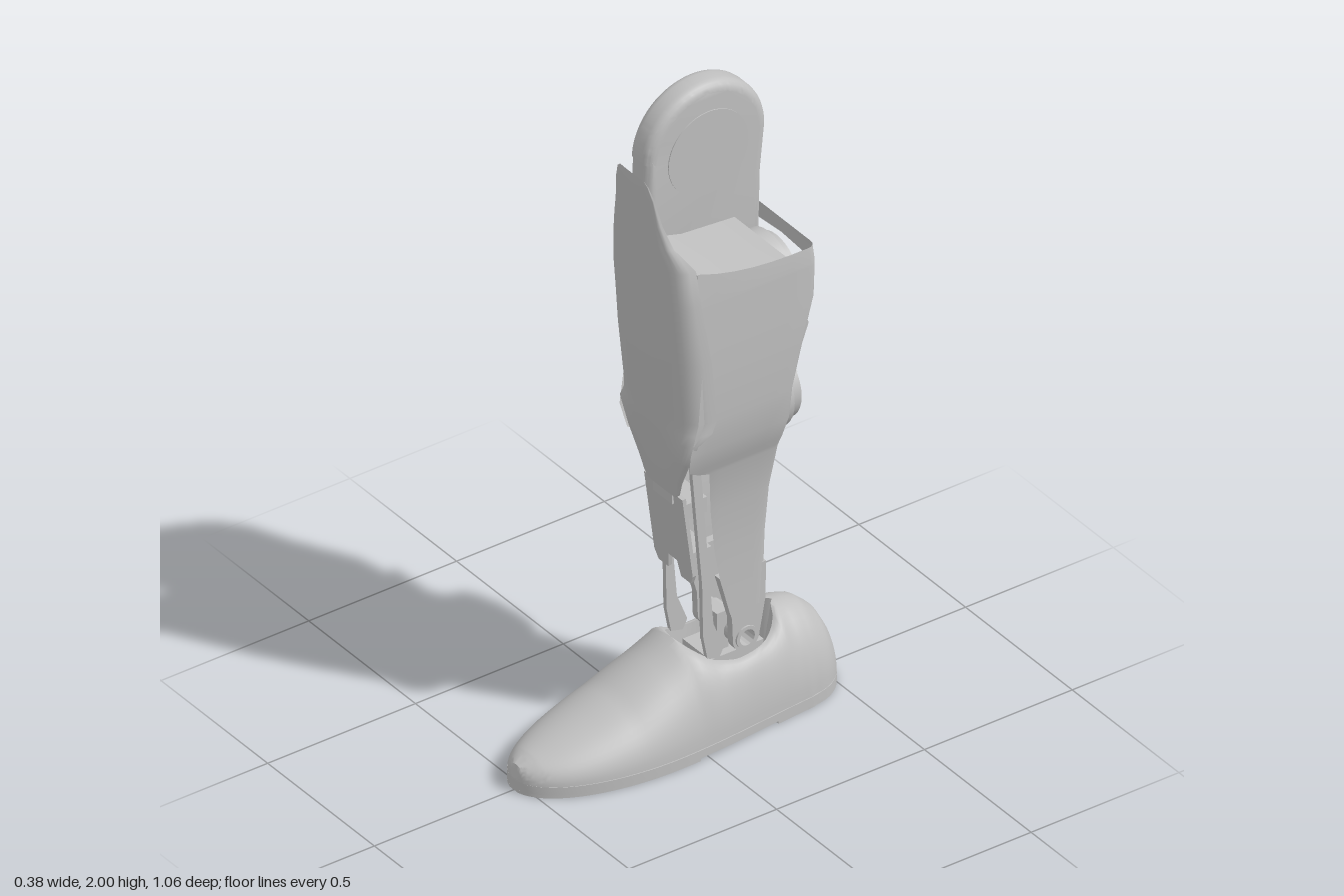
import * as THREE from 'three';
import { toCreasedNormals } from 'three/addons/utils/BufferGeometryUtils.js';

const shellGrey = new THREE.MeshStandardMaterial({ color: 0xc0c0c0, side: THREE.DoubleSide });
shellGrey.name = 'shell grey';

// piecewise linear lookup in a list of [input, value]
function lookup(table, t) {
  for (let i = 1; i < table.length; i++) {
    const [a, va] = table[i - 1], [b, vb] = table[i];
    if (t <= b) return va + (vb - va) * Math.max(0, (t - a) / (b - a));
  }
  return table[table.length - 1][1];
}

// surface through rows of points
function grid(rows, crease = 0.7) {
  const n = rows[0].length, index = [];
  for (let r = 0; r < rows.length - 1; r++) {
    for (let c = 0; c < n - 1; c++) {
      const a = r * n + c, b = a + n;
      index.push(a, b, a + 1, a + 1, b, b + 1);
    }
  }
  const geo = new THREE.BufferGeometry();
  geo.setAttribute('position', new THREE.Float32BufferAttribute(rows.flat(2), 3));
  geo.setIndex(index);
  return toCreasedNormals(geo, crease);
}

const shapeOf = pts => new THREE.Shape(pts.map(p => new THREE.Vector2(p[0], p[1])));

// side profile given in (z, y), extruded across x from x0 to x1
function sideExtrude(shape, x0, x1, bevel = 0) {
  const geo = new THREE.ExtrudeGeometry(shape, {
    depth: x1 - x0 - 2 * bevel, bevelEnabled: bevel > 0, bevelSize: bevel,
    bevelThickness: bevel, bevelSegments: 5, curveSegments: 32,
  });
  geo.rotateY(-Math.PI / 2).translate(x1 - bevel, 0, 0);
  return toCreasedNormals(geo, 0.6);
}

// half width of the shoe along z
function shoeWidth(z) {
  if (z < -0.38) return Math.sqrt(Math.max(0, 0.15 ** 2 - (z + 0.38) ** 2));
  if (z > 0.1) return 0.19 * Math.sqrt(Math.max(0, 1 - ((z - 0.1) / 0.43) ** 2));
  return 0.15 + 0.04 * THREE.MathUtils.smoothstep(z, -0.5, 0.1);
}

// slab following the shoe outline between two z positions
function soleSlab(z0, z1, y0, y1, scale) {
  const half = [];
  for (let i = 0; i <= 40; i++) {
    const z = (z0 + z1) / 2 - (z1 - z0) / 2 * Math.cos(Math.PI * i / 40);
    half.push([shoeWidth(z) * scale, z]);
  }
  const pts = [...half, ...half.slice().reverse().map(([x, z]) => [-x, z])];
  const geo = new THREE.ExtrudeGeometry(shapeOf(pts), { depth: y1 - y0, bevelEnabled: false });
  return toCreasedNormals(geo.rotateX(Math.PI / 2).translate(0, y1, 0), 0.6);
}

// shoe upper with an ankle opening, made of slices along z
function shoeUpper() {
  const height = [[-0.53, 0.04], [-0.52, 0.1], [-0.5, 0.17], [-0.47, 0.225], [-0.42, 0.27], [-0.38, 0.283],
    [-0.33, 0.29], [-0.29, 0.25], [-0.25, 0.232], [-0.15, 0.225], [-0.08, 0.24], [-0.03, 0.275], [0, 0.3],
    [0.06, 0.265], [0.1, 0.245], [0.2, 0.195], [0.3, 0.16], [0.4, 0.127], [0.48, 0.1], [0.52, 0.08], [0.53, 0.04]];
  const rows = [];
  for (let i = 0; i <= 80; i++) {
    const z = -0.53 * Math.cos(Math.PI * i / 80);
    const w = shoeWidth(z) * 0.985, h = lookup(height, z);
    const rim = 0.11 * Math.sqrt(Math.max(0, 1 - ((z + 0.165) / 0.165) ** 2));
    const half = [];
    for (let k = 0; k <= 12; k++) {
      const a = Math.PI / 2 * k / 12;
      half.push([rim + (w - rim) * Math.cos(a), 0.035 + (h - 0.035) * Math.sin(a), z]);
    }
    const floor = rim > 0 ? 0.13 : h;
    half.push([rim * 0.95, floor, z]);
    rows.push([...half, [0, floor, z], ...half.slice().reverse().map(([x, y, zz]) => [-x, y, zz])]);
  }
  return grid(rows);
}

// calf wall on the +x side: [y, half width, front z, rear z, rear opening, front lift]
function calfWall(side) {
  const rows = [
    [1.54, 0.170, 0.03, -0.372, 0, 0.06], [1.49, 0.175, 0.03, -0.376, 0, 0], [1.48, 0.175, 0.03, -0.376, 0.125, 0],
    [1.38, 0.178, 0.03, -0.37, 0.14, 0], [1.25, 0.178, 0.02, -0.335, 0.14, 0], [1.1, 0.175, 0.03, -0.3, 0.135, 0],
    [1.0, 0.167, 0.05, -0.295, 0.125, 0], [0.93, 0.145, 0.04, -0.288, 0.1, 0], [0.905, 0.135, 0.0, -0.285, 0.07, 0],
    [0.89, 0.13, -0.04, -0.283, 0, 0], [0.75, 0.107, -0.06, -0.27, 0, 0], [0.6, 0.098, -0.08, -0.262, 0, 0],
    [0.5, 0.096, -0.1, -0.26, 0, 0], [0.37, 0.095, -0.135, -0.257, 0, 0],
  ];
  return grid(rows.map(([y, w, zf, zb, open, lift]) => {
    const r = 0.025, out = [];
    for (let k = 0; k <= 6; k++) {
      const s = k / 6;
      out.push([side * w, y + lift * (1 - s) ** 2.5, zf + (zb + r - zf) * s]);
    }
    for (let k = 1; k <= 4; k++) {
      const a = Math.PI / 2 * k / 4;
      out.push([side * (w - r + r * Math.cos(a)), y, zb + r - r * Math.sin(a)]);
    }
    out.push([side * Math.min(open, w - r), y, zb]);
    return out;
  }));
}

// curved shin plate: [y, half width, centre z, edge z]
function shinGuard() {
  const rows = [
    [1.885, 0.055, 0.13, 0.128], [1.87, 0.072, 0.13, 0.124], [1.83, 0.088, 0.129, 0.115], [1.75, 0.105, 0.125, 0.1],
    [1.68, 0.13, 0.12, 0.08], [1.61, 0.168, 0.115, 0.033], [1.5, 0.178, 0.11, 0.022], [1.3, 0.182, 0.1, -0.01],
    [1.1, 0.18, 0.08, -0.03], [1.06, 0.178, 0.076, -0.015], [1.03, 0.174, 0.072, 0.03], [0.95, 0.14, 0.057, 0.035],
    [0.87, 0.1, 0.043, 0.03], [0.82, 0.082, 0.033, 0.026], [0.805, 0.065, 0.03, 0.027],
  ];
  return grid(rows.map(([y, w, zc, ze]) => {
    const out = [];
    for (let k = -10; k <= 10; k++) {
      const a = Math.PI / 2 * k / 10;
      out.push([w * Math.sign(k) * Math.abs(Math.sin(a)) ** 0.75, y, ze + (zc - ze) * Math.max(0, Math.cos(a)) ** 0.75]);
    }
    return out;
  }), 1.0);
}

export function createModel() {
  const model = new THREE.Group();
  model.name = 'mechanicalLowerLeg';
  const add = (name, geo, x = 0, y = 0, z = 0) => {
    const mesh = new THREE.Mesh(geo, shellGrey);
    mesh.name = name;
    mesh.position.set(x, y, z);
    model.add(mesh);
    return mesh;
  };
  const box = (name, w, h, d, x, y, z) => add(name, new THREE.BoxGeometry(w, h, d), x, y, z);

  // shoe
  add('sole', soleSlab(-0.53, 0.53, 0.01, 0.036, 1));
  add('frontTread', soleSlab(0.03, 0.528, 0, 0.01, 0.99));
  add('heelTread', soleSlab(-0.528, -0.25, 0, 0.01, 0.99));
  add('shoeUpper', shoeUpper());

  // calf shell and the filled core behind the shin
  for (const side of [1, -1]) add(side > 0 ? 'leftCalfWall' : 'rightCalfWall', calfWall(side));
  add('calfCore', sideExtrude(shapeOf([[0.025, 1.59], [-0.03, 1.565], [-0.1, 1.545], [-0.28, 1.53],
    [-0.29, 1.5], [-0.29, 1.25], [-0.26, 1.1], [0.02, 1.1]]), -0.168, 0.168));
  box('lowerCore', 0.25, 0.2, 0.24, 0, 1.01, -0.13);
  add('shinGuard', shinGuard());

  // rounded knee plate on the right side
  const knee = new THREE.Shape();
  knee.moveTo(-0.01, 1.45);
  knee.lineTo(-0.012, 1.65);
  knee.lineTo(-0.01, 1.8);
  knee.absarc(-0.19, 1.795, 0.175, 0, Math.PI, false);
  knee.lineTo(-0.35, 1.65);
  knee.lineTo(-0.345, 1.45);
  add('kneePlate', sideExtrude(knee, -0.178, -0.085, 0.03));
  const kneeDisc = new THREE.CylinderGeometry(0.135, 0.135, 0.006, 40).rotateZ(Math.PI / 2);
  add('kneeInnerDisc', kneeDisc, -0.085, 1.78, -0.19);

  // two motors at the back and the folded brace between them
  const drum = (r, d) => new THREE.CylinderGeometry(r, r, d, 32).rotateX(Math.PI / 2);
  add('upperMotorBase', drum(0.132, 0.06), 0, 1.375, -0.305);
  add('upperMotorCap', drum(0.112, 0.03), 0, 1.375, -0.345);
  add('lowerMotorBase', drum(0.128, 0.1), 0, 1.01, -0.28);
  add('lowerMotorCap', drum(0.112, 0.04), 0, 1.01, -0.345);
  box('lowerMotorRib', 0.215, 0.012, 0.008, 0, 1.01, -0.366).rotation.z = 0.7;
  add('motorBrace', sideExtrude(shapeOf([[-0.27, 1.12], [-0.322, 1.13], [-0.372, 1.265], [-0.365, 1.285],
    [-0.27, 1.24]]), -0.135, 0.135));

  // lower shin plate with a notch, and its brackets
  const plate = new THREE.ExtrudeGeometry(shapeOf([[-0.09, 0.3], [-0.09, 0.03], [-0.075, 0], [-0.03, 0],
    [-0.02, 0.05], [0.02, 0.05], [0.03, 0], [0.075, 0], [0.09, 0.03], [0.09, 0.3]]), { depth: 0.012, bevelEnabled: false });
  add('lowerShinPlate', plate, 0, 0.51, -0.028).rotation.x = 0.13;
  box('shinPlateTab', 0.09, 0.05, 0.015, 0, 0.795, 0.018);
  box('upperShinBracket', 0.14, 0.05, 0.08, 0, 0.745, -0.035);
  box('lowerShinBracket', 0.14, 0.03, 0.07, 0, 0.585, -0.055);

  // ankle rods and pierced ankle lugs
  for (const side of [1, -1]) {
    const span = (a, b) => side > 0 ? [a, b] : [-b, -a];
    const name = side > 0 ? 'left' : 'right';
    add(name + 'AnkleRod', sideExtrude(shapeOf([[-0.005, 0.92], [-0.035, 0.92], [-0.068, 0.5], [-0.08, 0.36],
      [-0.115, 0.27], [-0.1, 0.24], [-0.06, 0.25], [-0.045, 0.33], [-0.042, 0.5]]), ...span(0.078, 0.093)));
    const lug = new THREE.Shape();
    lug.moveTo(-0.1, 0.5);
    lug.lineTo(-0.257, 0.5);
    lug.lineTo(-0.255, 0.38);
    lug.lineTo(-0.24, 0.3);
    lug.absarc(-0.19, 0.275, 0.045, Math.PI, Math.PI * 2, false);
    lug.lineTo(-0.142, 0.35);
    const hole = new THREE.Path();
    hole.absarc(-0.19, 0.275, 0.026, 0, Math.PI * 2, true);
    lug.holes.push(hole);
    add(name + 'AnkleLug', sideExtrude(lug, ...span(0.07, 0.0945)));
    box(name + 'AnklePost', 0.015, 0.22, 0.04, side * 0.032, 0.23, -0.15);
  }
  const ring = new THREE.Shape().absarc(-0.19, 0.275, 0.036, 0, Math.PI * 2, false);
  ring.holes.push(new THREE.Path().absarc(-0.19, 0.275, 0.025, 0, Math.PI * 2, true));
  add('hollowAnkleAxle', sideExtrude(ring, -0.1, 0.1));
  box('anklePostBar', 0.079, 0.015, 0.04, 0, 0.335, -0.15);
  box('ankleBase', 0.13, 0.1, 0.18, 0, 0.17, -0.18);

  return model;
}
